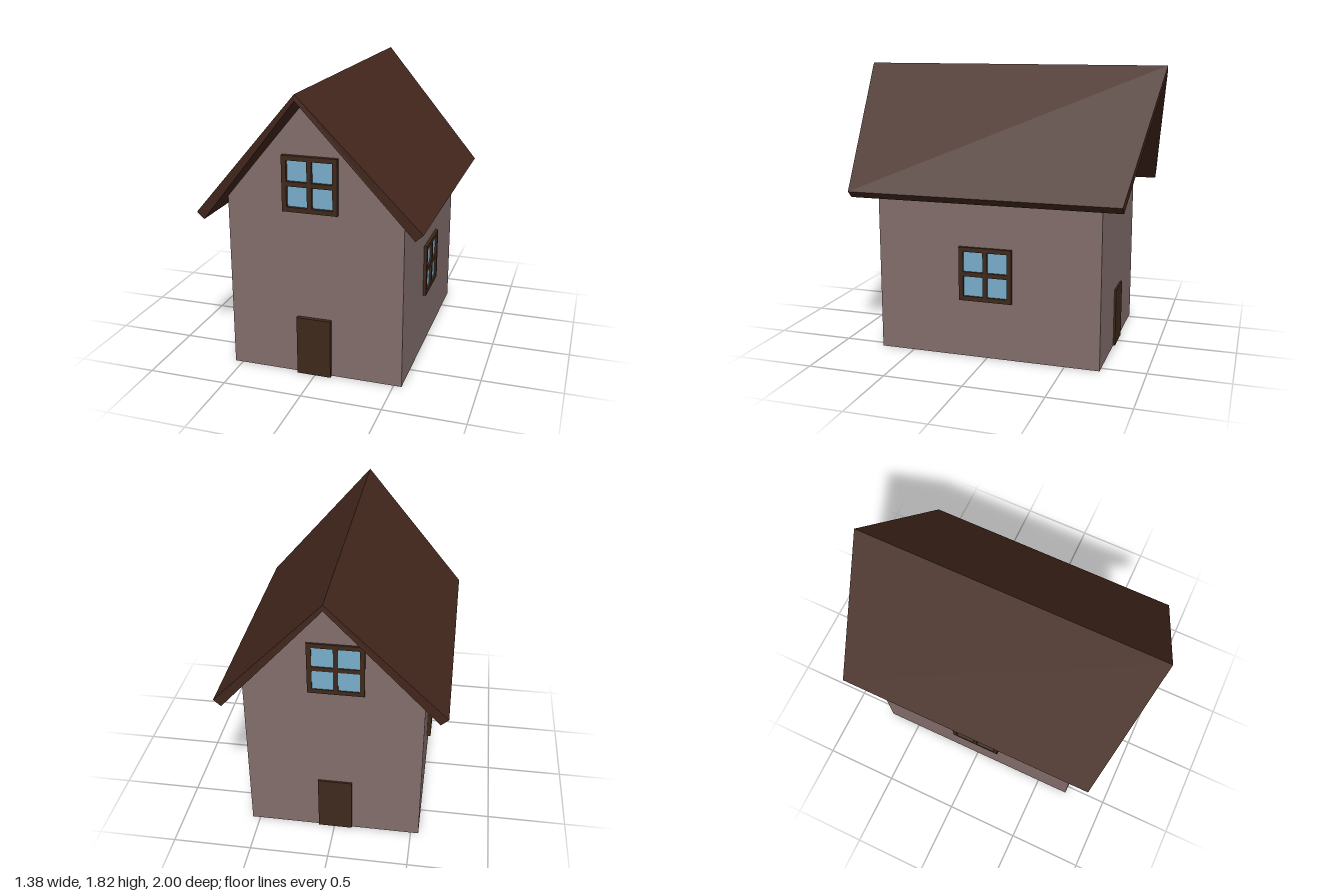
import * as THREE from 'three';

const mat = (color) => new THREE.MeshStandardMaterial({ color, flatShading: true });
const wallMat = mat(0x846f6c);
const roofMat = mat(0x45281e);
const woodMat = mat(0x3f291c);
const glassMat = mat(0x7ab0cd);

const WALL_X = 0.55, WALL_Z = 0.72;

function mesh(name, geometry, material) {
  const m = new THREE.Mesh(geometry, material);
  m.name = name;
  return m;
}

const polygon = (pts) => new THREE.Shape(pts.map(([x, y]) => new THREE.Vector2(x, y)));

function extrude(shape, depth) {
  return new THREE.ExtrudeGeometry(shape, { depth, bevelEnabled: false });
}

// Pentagonal house body with both gables
function makeWalls() {
  const shape = polygon([[-WALL_X, 0], [WALL_X, 0], [WALL_X, 1.115], [0, 1.782], [-WALL_X, 1.115]]);
  return mesh('walls', extrude(shape, 2 * WALL_Z).translate(0, 0, -WALL_Z), wallMat);
}

// Chevron roof, thinner at the ridge, whose ends slant in towards the eaves
function makeRoof() {
  const shape = polygon([
    [0, 1.815], [-0.69, 1.045], [-0.645, 1.003], [0, 1.778], [0.645, 1.003], [0.69, 1.045],
  ]);
  const geo = extrude(shape, 2).translate(0, 0, -1);
  const pos = geo.attributes.position;
  for (let i = 0; i < pos.count; i++) {
    const t = Math.min(Math.abs(pos.getX(i)) / 0.645, 1);
    pos.setZ(i, pos.getZ(i) * (1 - 0.14 * t));
  }
  geo.computeVertexNormals();
  return mesh('roof', geo, roofMat);
}

// Four-pane window facing +z, with its back on z = 0
function makeWindow(name, depth) {
  const w = 0.343, bar = 0.029, pane = (w - 3 * bar) / 2, c = (pane + bar) / 2;
  const h = w / 2, q = pane / 2;
  const frame = polygon([[-h, -h], [h, -h], [h, h], [-h, h]]);
  for (const x of [-c, c]) {
    for (const y of [-c, c]) {
      frame.holes.push(polygon([[x - q, y - q], [x - q, y + q], [x + q, y + q], [x + q, y - q]]));
    }
  }
  const group = new THREE.Group();
  group.name = name;
  const glass = new THREE.BoxGeometry(w - bar, w - bar, 0.012);
  group.add(mesh('windowFrame', extrude(frame, depth), woodMat));
  group.add(mesh('windowGlass', glass, glassMat));
  return group;
}

function makeDoor(name, depth) {
  return mesh(name, new THREE.BoxGeometry(0.217, 0.38, depth).translate(0, 0.19, depth / 2), woodMat);
}

export function createModel() {
  const house = new THREE.Group();
  house.name = 'house';
  house.add(makeWalls(), makeRoof());

  // Door and gable window on the front and the back
  for (const [side, s, depth] of [['front', 1, 0.027], ['back', -1, 0.012]]) {
    const door = makeDoor(side + 'Door', depth);
    door.position.set(-0.006, 0, s * WALL_Z);
    const win = makeWindow(side + 'Window', depth);
    win.position.set(-0.019, 1.233, s * WALL_Z);
    for (const part of [door, win]) part.rotation.y = s > 0 ? 0 : Math.PI;
    house.add(door, win);
  }

  // One window in each long wall
  for (const [side, s, depth] of [['left', 1, 0.02], ['right', -1, 0.027]]) {
    const win = makeWindow(side + 'Window', depth);
    win.position.set(s * WALL_X, 0.543, 0.006);
    win.rotation.y = s * Math.PI / 2;
    house.add(win);
  }
  return house;
}
